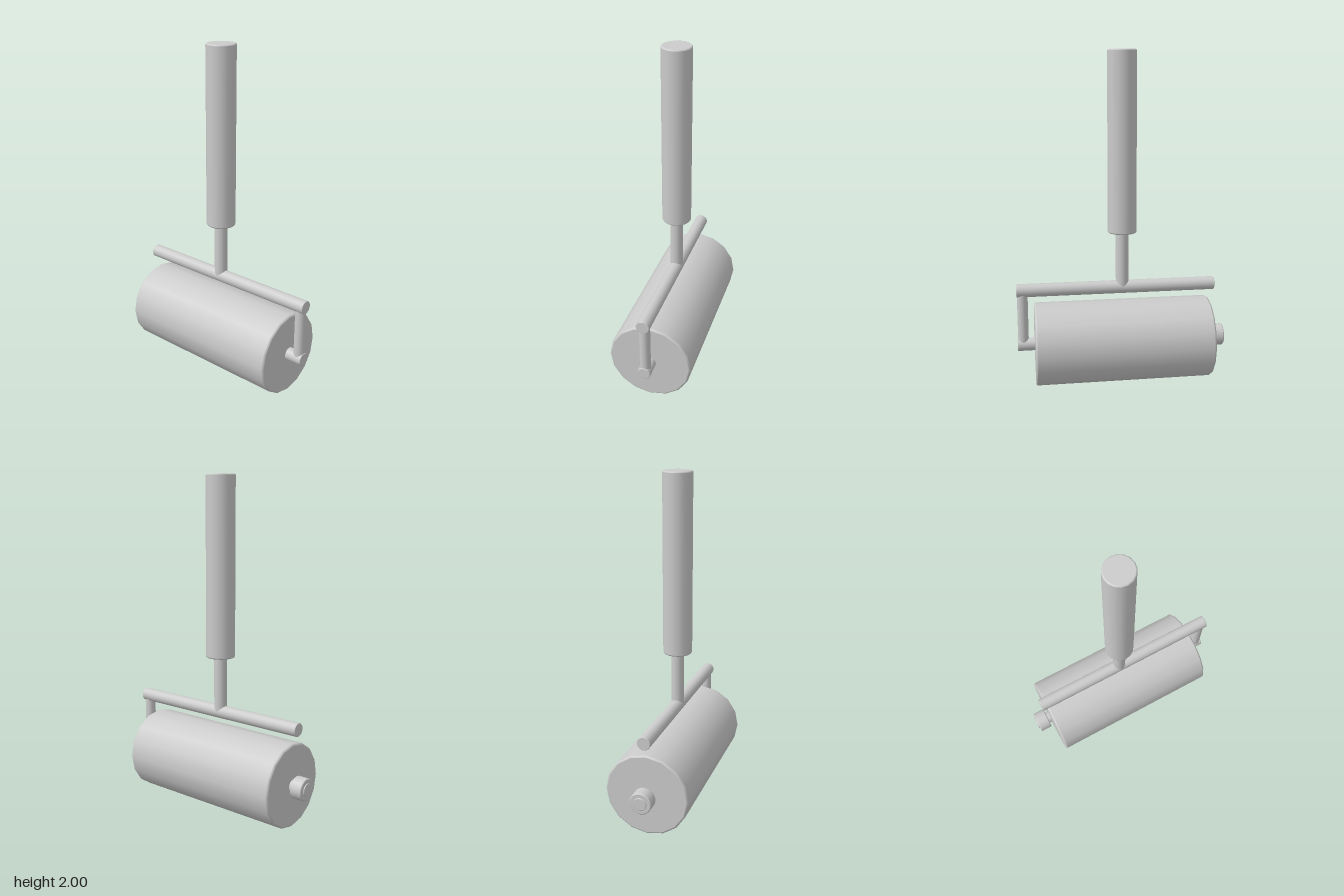
import * as THREE from 'three';

const material = new THREE.MeshStandardMaterial({ color: 0xcccccc });

// Closed round bar along y with slightly softened rims, centred on its length
function bar(name, radius, length, bevel, sides) {
  const h = length / 2;
  const profile = [
    [0, -h], [radius - 1.6 * bevel, -h], [radius - bevel, -h], [radius, -h + bevel], [radius, -h + 1.6 * bevel],
    [radius, h - 1.6 * bevel], [radius, h - bevel], [radius - bevel, h], [radius - 1.6 * bevel, h], [0, h],
  ].map(([r, y]) => new THREE.Vector2(r, y));
  const mesh = new THREE.Mesh(new THREE.LatheGeometry(profile, sides), material);
  mesh.name = name;
  return mesh;
}

function upright(name, radius, x, y0, y1, bevel, sides) {
  const mesh = bar(name, radius, y1 - y0, bevel, sides);
  mesh.position.set(x, (y0 + y1) / 2, 0);
  return mesh;
}

function crosswise(name, radius, y, x0, x1, bevel, sides) {
  const mesh = bar(name, radius, x1 - x0, bevel, sides);
  mesh.rotation.z = -Math.PI / 2;
  mesh.position.set((x0 + x1) / 2, y, 0);
  return mesh;
}

export function createModel() {
  const group = new THREE.Group();
  group.name = 'handRoller';
  const axleY = 0.25, barY = 0.59;

  group.add(
    // Grip and its stem
    upright('handle', 0.087, 0, 0.93, 2, 0.005, 16),
    upright('stem', 0.039, 0, barY, 0.95, 0.002, 16),
    // Frame: crossbar and side arm
    crosswise('crossbar', 0.04, barY, -0.57, 0.64, 0.002, 16),
    upright('sideArm', 0.032, 0.605, axleY, barY, 0.002, 16),
    // Roller on its axle, with the end nut
    crosswise('roller', 0.25, axleY, -0.538, 0.535, 0.007, 16),
    crosswise('axle', 0.039, axleY, -0.64, 0.64, 0.002, 16),
    crosswise('endNut', 0.066, axleY, -0.634, -0.56, 0.004, 16),
  );
  return group;
}
